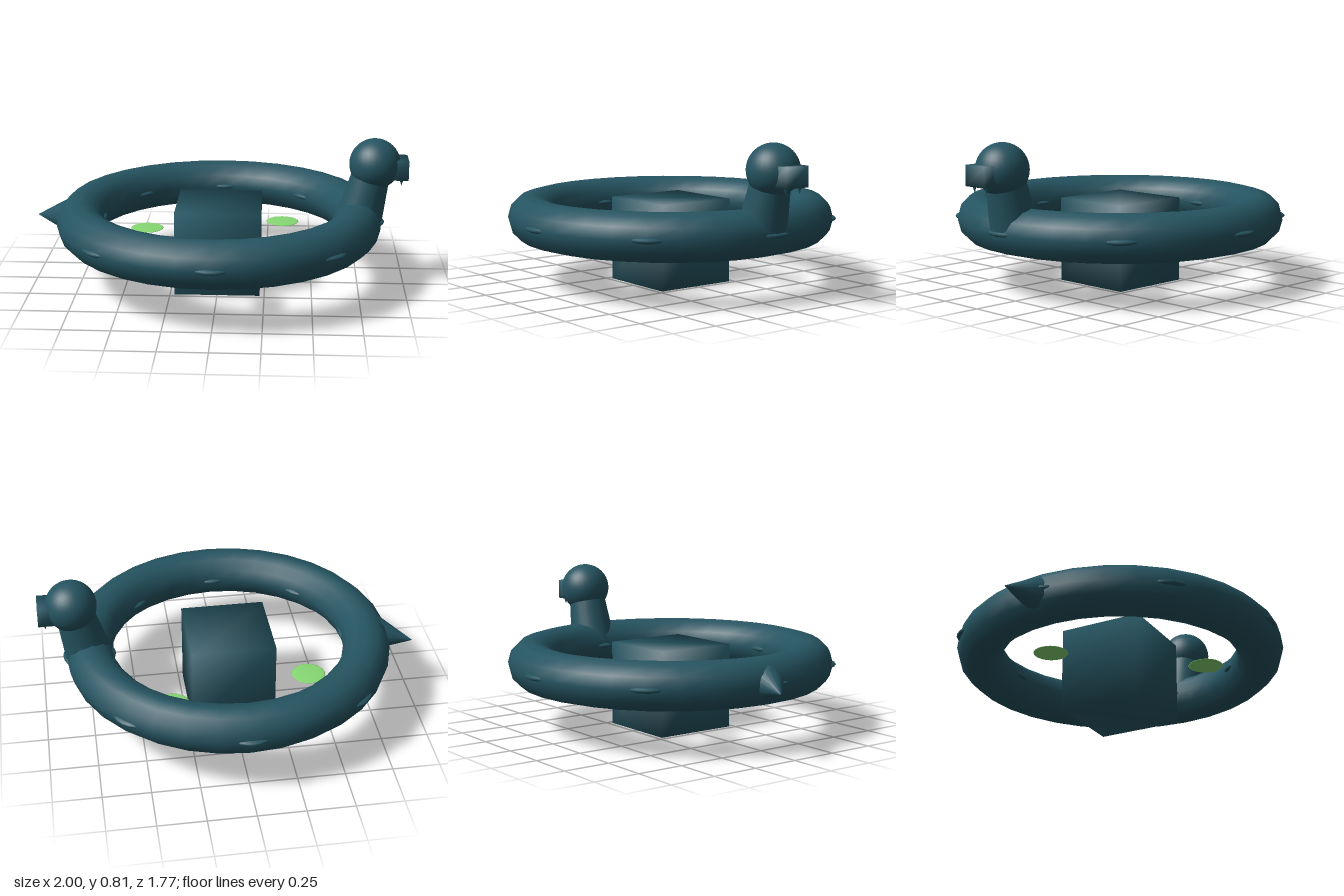
import * as THREE from 'three';
import { mergeVertices } from 'three/addons/utils/BufferGeometryUtils.js';

const RING_Y = 0.355, RING_R = 0.745, TUBE_R = 0.125;

// Box whose corners share normals, giving soft shading across its faces
function softBox(w, h, d) {
  const box = new THREE.BoxGeometry(w, h, d);
  box.deleteAttribute('uv');
  box.deleteAttribute('normal');
  const geo = mergeVertices(box);
  geo.computeVertexNormals();
  return geo;
}

export function createModel() {
  const model = new THREE.Group();
  const teal = new THREE.MeshStandardMaterial({ color: 0x255461 });
  teal.name = 'teal';
  const green = new THREE.MeshStandardMaterial({ color: 0x88d974 });
  green.name = 'leafGreen';

  function add(name, geo, mat, x, y, z) {
    const mesh = new THREE.Mesh(geo, mat);
    mesh.name = name;
    mesh.position.set(x, y, z);
    model.add(mesh);
    return mesh;
  }

  // Tapered round part running between two points
  function taper(name, from, to, rFrom, rTo, sides) {
    const a = new THREE.Vector3(...from), b = new THREE.Vector3(...to);
    const dir = b.clone().sub(a), mid = a.clone().add(b).multiplyScalar(0.5);
    const geo = new THREE.CylinderGeometry(rTo, rFrom, dir.length(), sides);
    const mesh = add(name, geo, teal, mid.x, mid.y, mid.z);
    mesh.quaternion.setFromUnitVectors(new THREE.Vector3(0, 1, 0), dir.normalize());
  }

  // Floating ring
  const ring = new THREE.TorusGeometry(RING_R, TUBE_R, 12, 32).rotateX(Math.PI / 2);
  add('ring', ring, teal, 0, RING_Y, 0);

  // Flattened spots buried in the ring, showing as thin ridges on both sides
  const spot = new THREE.SphereGeometry(0.14, 24, 12).scale(1, 0.2, 1);
  for (let i = 0; i < 8; i++) {
    const a = (i * Math.PI) / 4;
    add('ringSpot', spot, teal, Math.cos(a) * RING_R, RING_Y, Math.sin(a) * RING_R);
  }

  // Central block
  add('centreBlock', softBox(0.45, 0.45, 0.45), teal, 0, 0.225, 0);

  // Neck, head and beak
  taper('neck', [RING_R, RING_Y, 0], [0.82, 0.67, 0], 0.126, 0.095, 24);
  add('head', new THREE.SphereGeometry(0.135, 32, 20), teal, 0.825, 0.673, 0);
  add('beak', softBox(0.12, 0.105, 0.14), teal, 0.94, 0.653, 0);
  for (const side of [-1, 1]) {
    taper('beakTooth', [0.965, 0.605, side * 0.045], [0.965, 0.567, side * 0.045], 0.012, 0, 8);
  }

  // Tail swept slightly to the back
  taper('tail', [-0.8, 0.355, -0.02], [-1, 0.335, -0.095], 0.1, 0, 16);

  // Flat round leaves inside the ring
  const leaf = new THREE.SphereGeometry(0.09, 24, 12).scale(1, 0.06, 1);
  for (const [x, z] of [[-0.41, -0.185], [0.34, -0.345], [0.11, 0.45]]) {
    add('leaf', leaf, green, x, 0.237, z);
  }

  return model;
}
